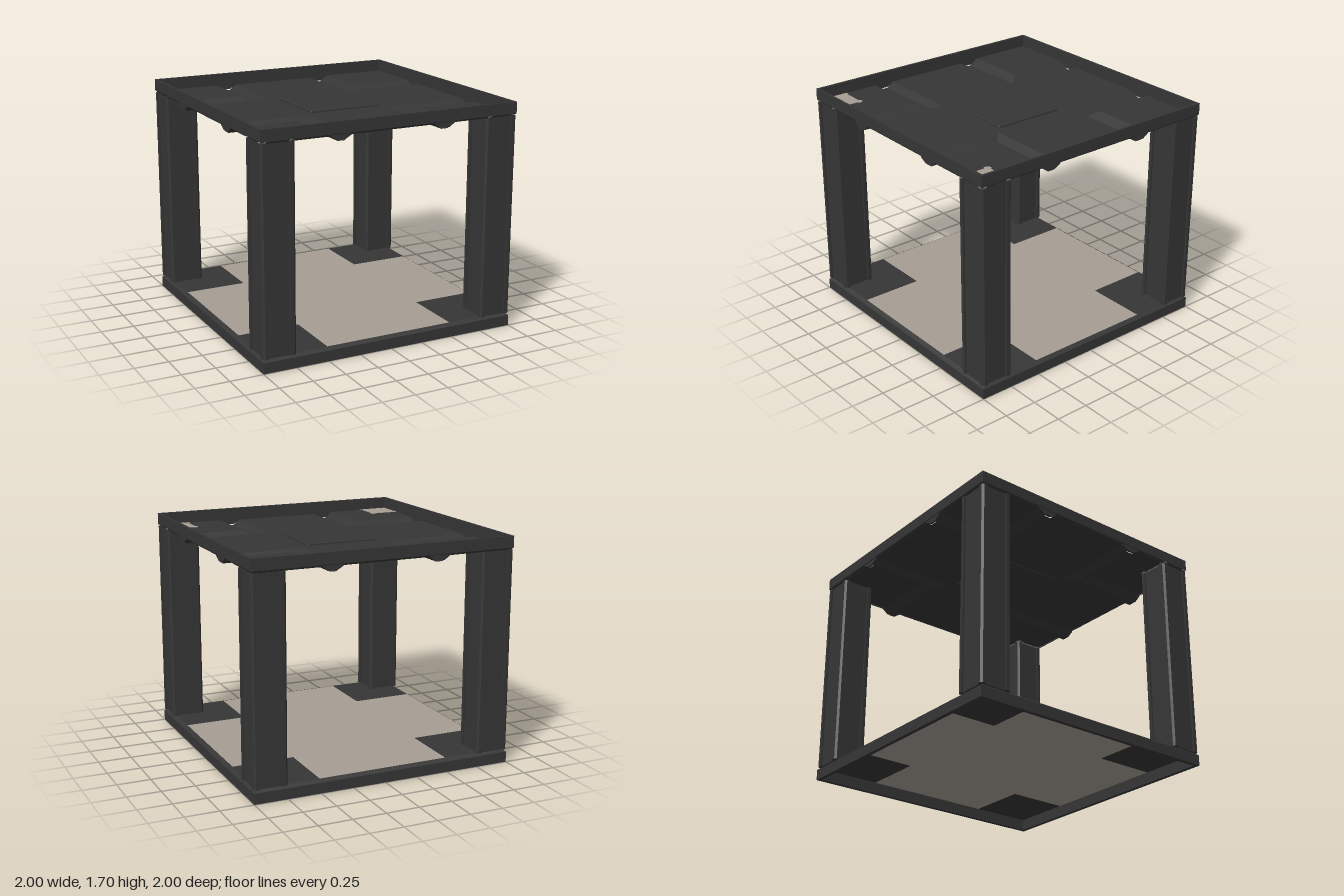
import * as THREE from 'three';
import { RoundedBoxGeometry } from 'three/addons/geometries/RoundedBoxGeometry.js';

export function createModel() {
  const darkMetal = new THREE.MeshStandardMaterial({ color: 0x363636, side: THREE.DoubleSide });
  const beigePanel = new THREE.MeshStandardMaterial({ color: 0xa69e94, side: THREE.DoubleSide });
  const model = new THREE.Group();

  function add(name, geometry, material, x = 0, y = 0, z = 0, turn = 0) {
    const mesh = new THREE.Mesh(geometry, material);
    mesh.name = name;
    mesh.position.set(x, y, z);
    mesh.rotation.y = turn;
    model.add(mesh);
    return mesh;
  }

  // Square ring swept from a closed (half width, height) profile
  function squareRing(profile) {
    const pts = [...profile, profile[0]].map(([r, y]) => new THREE.Vector2(r * Math.SQRT2, y));
    const geo = new THREE.LatheGeometry(pts, 4).rotateY(Math.PI / 4).toNonIndexed();
    geo.computeVertexNormals();
    return geo;
  }

  // Upright prism from a plan outline
  function prism(shape, height) {
    return new THREE.ExtrudeGeometry(shape, { depth: height, bevelEnabled: false }).rotateX(-Math.PI / 2);
  }

  // Base rim with bevelled top
  add('baseRim', squareRing([[0.97, 0], [1, 0], [1, 0.08], [0.972, 0.1], [0.97, 0.1]]), darkMetal);

  // Floor: beige cross with dark corner plates
  const inner = 0.97, arm = 0.5, t = 0.015, floorY = 0.092;
  add('floorCentre', new THREE.BoxGeometry(2 * inner, t, 2 * arm), beigePanel, 0, floorY, 0);
  for (const s of [-1, 1]) {
    add('floorArm', new THREE.BoxGeometry(2 * arm, t, inner - arm), beigePanel, 0, floorY, s * (inner + arm) / 2);
    for (const k of [-1, 1]) {
      add('floorCorner', new THREE.BoxGeometry(inner - arm, t, inner - arm), darkMetal,
        k * (inner + arm) / 2, floorY, s * (inner + arm) / 2);
    }
  }

  // Pillars: square core with a chamfered bead on each corner
  const h = 0.125, core = 0.111, bead = 0.042, cut = 0.014;
  const corner = [[core, h - bead], [h, h - bead], [h, h - cut], [h - cut, h], [h - bead, h], [h - bead, core]];
  const outline = [];
  for (let q = 0; q < 4; q++) {
    for (const [x, y] of corner) {
      outline.push(new THREE.Vector2(x, y).rotateAround(new THREE.Vector2(), q * Math.PI / 2));
    }
  }
  const section = new THREE.Shape(outline);
  const pillar = prism(section, 1.5);
  const cap = prism(section, 0.004);
  for (const x of [-0.875, 0.875]) {
    for (const z of [-0.875, 0.875]) add('pillar', pillar, darkMetal, x, 0.1, z);
    add('roofCornerPatch', cap, beigePanel, x, 1.609, 0.875);
  }

  // Roof rim
  add('roofRim', squareRing([[0.98, 1.6], [0.985, 1.6], [1, 1.615], [1, 1.7], [0.98, 1.7]]), darkMetal);

  // Roof panel quarter: an L-shaped groove runs around each corner square
  const steps = [0, 0.33, 0.38, 0.43, 0.49, 0.985];
  const heights = [1.603, 1.603, 1.563, 1.563, 1.61, 1.61];
  const n = steps.length - 1;
  const plane = new THREE.PlaneGeometry(n, n, n, n).rotateX(-Math.PI / 2);
  const pos = plane.attributes.position;
  for (let i = 0; i < pos.count; i++) {
    const a = Math.round(pos.getX(i) + n / 2), b = Math.round(n / 2 - pos.getZ(i));
    pos.setXYZ(i, steps[a], heights[Math.min(a, b)], -steps[b]);
  }
  const quarter = plane.toNonIndexed();
  quarter.computeVertexNormals();

  // Groove end plate hanging under the rim
  const endShape = new THREE.Shape([[0.33, 1.62], [0.33, 1.6], [0.38, 1.572], [0.44, 1.572], [0.49, 1.605], [0.49, 1.62]]
    .map(([x, y]) => new THREE.Vector2(x, y)));
  const endPlate = new THREE.ExtrudeGeometry(endShape, { depth: 0.016, bevelEnabled: false });
  const mirrored = new THREE.ExtrudeGeometry(
    new THREE.Shape(endShape.getPoints().map(p => new THREE.Vector2(-p.x, p.y))), { depth: 0.016, bevelEnabled: false });
  for (const g of [endPlate, mirrored]) g.translate(0, 0, 0.98);

  for (let q = 0; q < 4; q++) {
    const turn = q * Math.PI / 2;
    add('roofPanelQuarter', quarter, darkMetal, 0, 0, 0, turn);
    add('grooveEnd', endPlate, darkMetal, 0, 0, 0, turn);
    add('grooveEnd', mirrored, darkMetal, 0, 0, 0, turn);
  }

  // Raised centre plate
  add('roofCentrePlate', new RoundedBoxGeometry(0.55, 0.024, 0.55, 2, 0.008), darkMetal, 0, 1.606, 0);

  return model;
}
